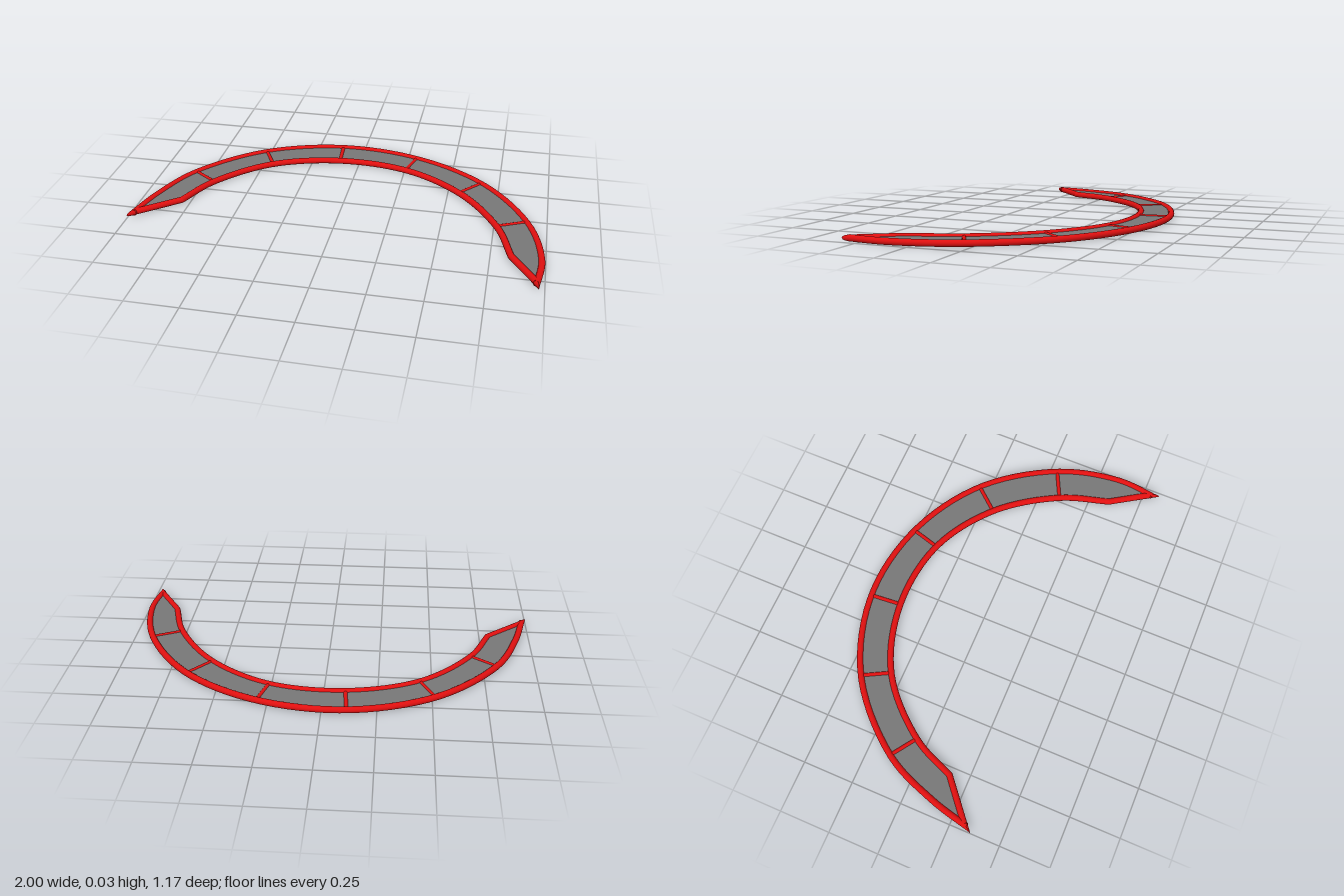
import * as THREE from 'three';
import { mergeGeometries } from 'three/addons/utils/BufferGeometryUtils.js';

const R = 0.0155; // rim radius
const red = new THREE.MeshStandardMaterial({ color: 0xe01010 });
const grey = new THREE.MeshStandardMaterial({ color: 0x777777 });

const toPoints = (list) => list.map(([x, z]) => new THREE.Vector3(x, 0, z));

// Plan outline (x, z), both edges from left to right; entries in between the ends carry the dividers
const outerEnds = [[[-1, 0.355], [-0.942, 0.12]], [[0.996, 0.35], [0.975, 0.58]]];
const outerMid = [[-0.826, -0.147], [-0.52, -0.448], [-0.115, -0.582], [0.302, -0.53], [0.67, -0.316], [0.917, 0.03]];
const innerMid = [[-0.68, -0.045], [-0.436, -0.29], [-0.1, -0.397], [0.254, -0.36], [0.548, -0.174], [0.75, 0.11]];
const outer = toPoints([...outerEnds[0], ...outerMid, ...outerEnds[1]]);
const inner = toPoints([[-0.778, 0.168], ...innerMid, [0.83, 0.355]]);

// Closed outline, and the direction that insets each point (mitred at corners)
function buildOutline(steps) {
  const smooth = (pts) => new THREE.CatmullRomCurve3(pts).getPoints(steps);
  const points = [...smooth(outer), ...smooth(inner).reverse()];
  const n = points.length;
  const normal = (a, b) => {
    const t = b.clone().sub(a).normalize();
    return new THREE.Vector3(-t.z, 0, t.x);
  };
  const mitres = points.map((p, i) => {
    const n1 = normal(points[(i + n - 1) % n], p);
    const n2 = normal(p, points[(i + 1) % n]);
    return n1.clone().add(n2).divideScalar(1 + n1.dot(n2));
  });
  return { points, mitres };
}

// Round rim along one stretch of the outline
function rimStretch({ points, mitres }, from, to, sides = 16) {
  const pos = [], index = [];
  for (let i = from; i <= to; i++) {
    const k = i % points.length;
    for (let j = 0; j < sides; j++) {
      const a = (j / sides) * Math.PI * 2;
      const p = points[k].clone().addScaledVector(mitres[k], R - R * Math.cos(a));
      pos.push(p.x, R + R * Math.sin(a), p.z);
      if (i === to) continue;
      const row = (i - from) * sides, next = (j + 1) % sides;
      const p0 = row + j, p1 = row + next;
      index.push(p0, p1, p0 + sides, p1, p1 + sides, p0 + sides);
    }
  }
  const g = new THREE.BufferGeometry();
  g.setAttribute('position', new THREE.Float32BufferAttribute(pos, 3));
  g.setIndex(index);
  g.computeVertexNormals();
  return g;
}

export function createModel() {
  const group = new THREE.Group();
  group.name = 'curvedBand';
  const add = (name, geometry, material) => {
    const mesh = new THREE.Mesh(geometry, material);
    mesh.name = name;
    group.add(mesh);
    return mesh;
  };

  // Rim: outer arc, right end, inner arc, left end
  const steps = 64;
  const outline = buildOutline(steps);
  const corners = [0, steps, steps + 1, 2 * steps + 1, 2 * steps + 2];
  const stretches = corners.slice(1).map((c, i) => rimStretch(outline, corners[i], c));
  add('rim', mergeGeometries(stretches), red);

  // Thin panel filling the rim
  const shape = new THREE.Shape(outline.points.map((p, i) => {
    const q = p.clone().addScaledVector(outline.mitres[i], R);
    return new THREE.Vector2(q.x, -q.z);
  }));
  const thick = 0.008;
  const panel = new THREE.ExtrudeGeometry(shape, { depth: thick, bevelEnabled: false });
  panel.rotateX(-Math.PI / 2).translate(0, R - thick / 2, 0);
  add('panel', panel, grey);

  // Dividers across the band
  for (let i = 0; i < outerMid.length; i++) {
    const a = outer[i + 2].clone().lerp(inner[i + 1], 0.07);
    const b = inner[i + 1].clone().lerp(outer[i + 2], 0.07);
    const span = b.clone().sub(a);
    const bar = add('divider' + (i + 1), new THREE.CylinderGeometry(0.01, 0.01, span.length(), 12), red);
    bar.position.copy(a).add(b).multiplyScalar(0.5).setY(R);
    bar.quaternion.setFromUnitVectors(new THREE.Vector3(0, 1, 0), span.normalize());
  }
  return group;
}
